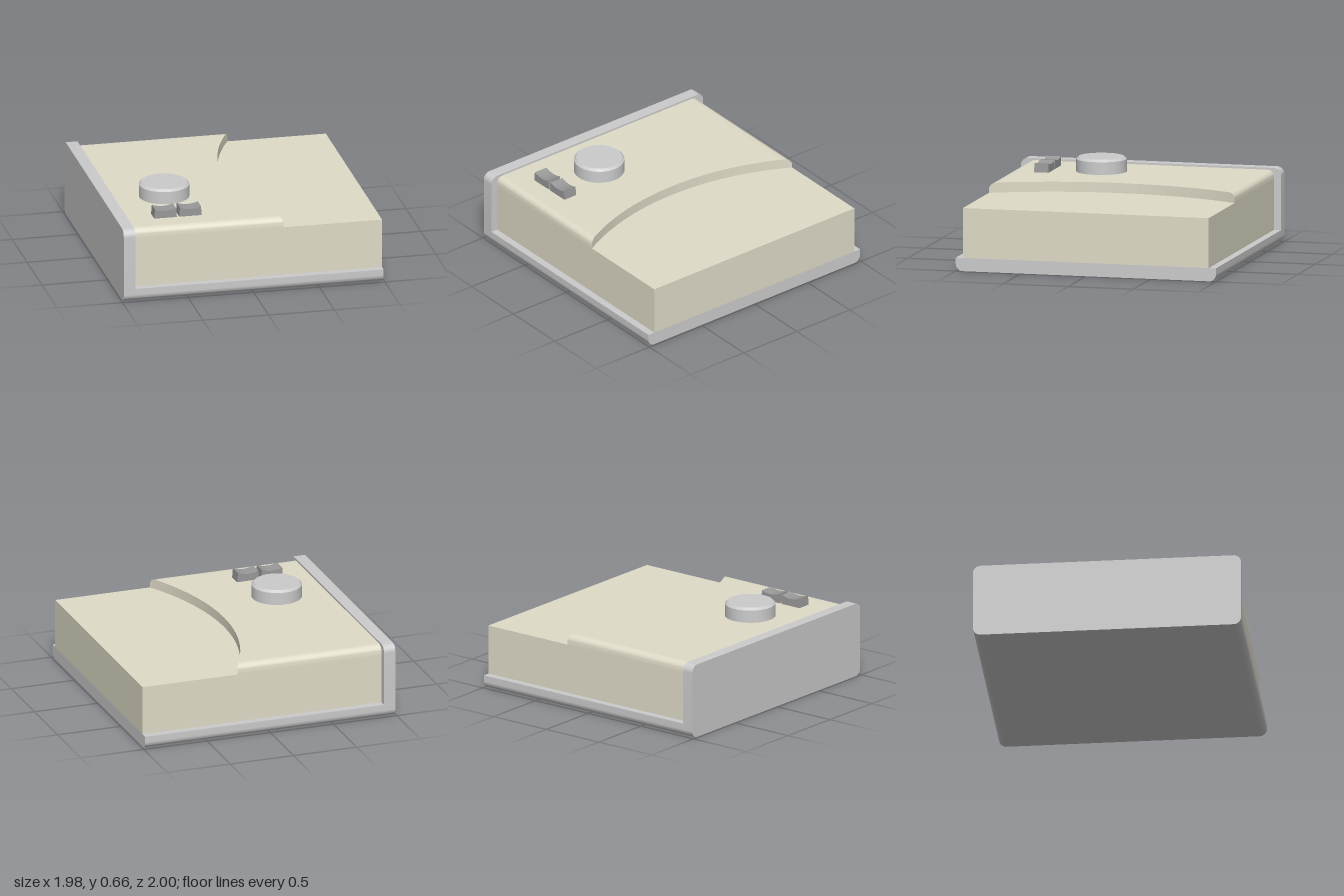
import * as THREE from 'three';
import { toCreasedNormals } from 'three/addons/utils/BufferGeometryUtils.js';

const GREY = new THREE.MeshStandardMaterial({ color: 0xcccccc });
const DARK = new THREE.MeshStandardMaterial({ color: 0x999999 });
const BEIGE = new THREE.MeshStandardMaterial({ color: 0xdfdbc8 });

const X0 = -0.99, X1 = 0.99;       // overall ends
const PLATE_X = -0.9;              // inner face of the end plate
const BODY_Z = 0.945;              // half depth of the body
const LOW = 0.475, HIGH = 0.55;    // the two deck heights

function add(group, name, geometry, material) {
  const mesh = new THREE.Mesh(geometry, material);
  mesh.name = name;
  group.add(mesh);
  return mesh;
}

// Rectangle centred on z = 0, with its own radius for bottom and top corners
function panelShape(halfW, y0, y1, rBottom, rTop) {
  const s = new THREE.Shape();
  s.moveTo(-halfW + rBottom, y0);
  s.lineTo(halfW - rBottom, y0);
  s.absarc(halfW - rBottom, y0 + rBottom, rBottom, -Math.PI / 2, 0);
  if (rTop) {
    s.absarc(halfW - rTop, y1 - rTop, rTop, 0, Math.PI / 2);
    s.absarc(-halfW + rTop, y1 - rTop, rTop, Math.PI / 2, Math.PI);
  } else {
    s.lineTo(halfW, y1);
    s.lineTo(-halfW, y1);
  }
  s.absarc(-halfW + rBottom, y0 + rBottom, rBottom, Math.PI, Math.PI * 1.5);
  return s;
}

// Extrude a z-y profile along x
function extrudeX(shape, x0, x1) {
  const g = new THREE.ExtrudeGeometry(shape, { depth: x1 - x0, bevelEnabled: false, curveSegments: 10 });
  g.rotateY(Math.PI / 2).translate(x0, 0, 0);
  return toCreasedNormals(g, 0.6);
}

// Raised deck: rounded long edges, ending in a concave circular step
function raisedDeck() {
  const r = 0.05, sag = 0.24;
  const R = (BODY_Z ** 2 + sag ** 2) / (2 * sag);
  const stepX = z => R - Math.sqrt(R * R - z * z);
  const profile = [[-BODY_Z, LOW]];
  for (let i = 0; i <= 8; i++) {
    const a = (i / 8) * Math.PI / 2;
    profile.push([-BODY_Z + r - r * Math.cos(a), HIGH - r + r * Math.sin(a)]);
  }
  const flat = BODY_Z - r;
  for (let i = 1; i < 40; i++) profile.push([-flat + (2 * flat * i) / 40, HIGH]);
  for (let i = 8; i >= 0; i--) profile.push([-profile[i + 1][0], profile[i + 1][1]]);
  profile.push([BODY_Z, LOW]);

  const pos = [];
  const quad = (a, b, c, d) => pos.push(...a, ...b, ...c, ...a, ...c, ...d);
  for (let i = 0; i < profile.length - 1; i++) {
    const [za, ya] = profile[i], [zb, yb] = profile[i + 1];
    const xa = stepX(za), xb = stepX(zb);
    quad([PLATE_X, ya, za], [PLATE_X, yb, zb], [xb, yb, zb], [xa, ya, za]); // skin
    quad([xa, ya, za], [xb, yb, zb], [xb, LOW, zb], [xa, LOW, za]);         // step wall
  }
  const g = new THREE.BufferGeometry();
  g.setAttribute('position', new THREE.Float32BufferAttribute(pos, 3));
  return toCreasedNormals(g, 0.6);
}

// Push button with a dished top
function buttonGeometry() {
  const s = new THREE.Shape();
  s.moveTo(-0.086, 0);
  s.lineTo(0.086, 0);
  s.lineTo(0.08, 0.07);
  s.quadraticCurveTo(0, 0.04, -0.08, 0.07);
  s.closePath();
  const g = new THREE.ExtrudeGeometry(s, { depth: 0.11, bevelEnabled: false, curveSegments: 12 });
  g.translate(0, 0, -0.055);
  return toCreasedNormals(g, 0.6);
}

export function createModel() {
  const model = new THREE.Group();
  model.name = 'device';

  // Tray and upright end plate
  add(model, 'baseTray', extrudeX(panelShape(1, 0, 0.1, 0.055, 0), PLATE_X, X1), GREY);
  add(model, 'endPlate', extrudeX(panelShape(1, 0, 0.565, 0.055, 0.055), X0, PLATE_X), GREY);

  // Body with its low deck, and the raised deck over it
  const body = add(model, 'body', new THREE.BoxGeometry(X1 - PLATE_X, LOW - 0.1, BODY_Z * 2), BEIGE);
  body.position.set((X1 + PLATE_X) / 2, (LOW + 0.1) / 2, 0);
  add(model, 'raisedDeck', raisedDeck(), BEIGE);

  // Chamfered knob
  const knobProfile = [[0.188, 0], [0.188, 0.095], [0.17, 0.112], [0, 0.112]]
    .map(([x, y]) => new THREE.Vector2(x, y));
  const knob = add(model, 'knob', toCreasedNormals(new THREE.LatheGeometry(knobProfile, 48), 0.5), GREY);
  knob.position.set(-0.52, HIGH, 0.28);

  // Pair of buttons
  [['leftButton', -0.425], ['rightButton', -0.615]].forEach(([name, x]) => {
    add(model, name, buttonGeometry(), DARK).position.set(x, HIGH, 0.695);
  });

  return model;
}
